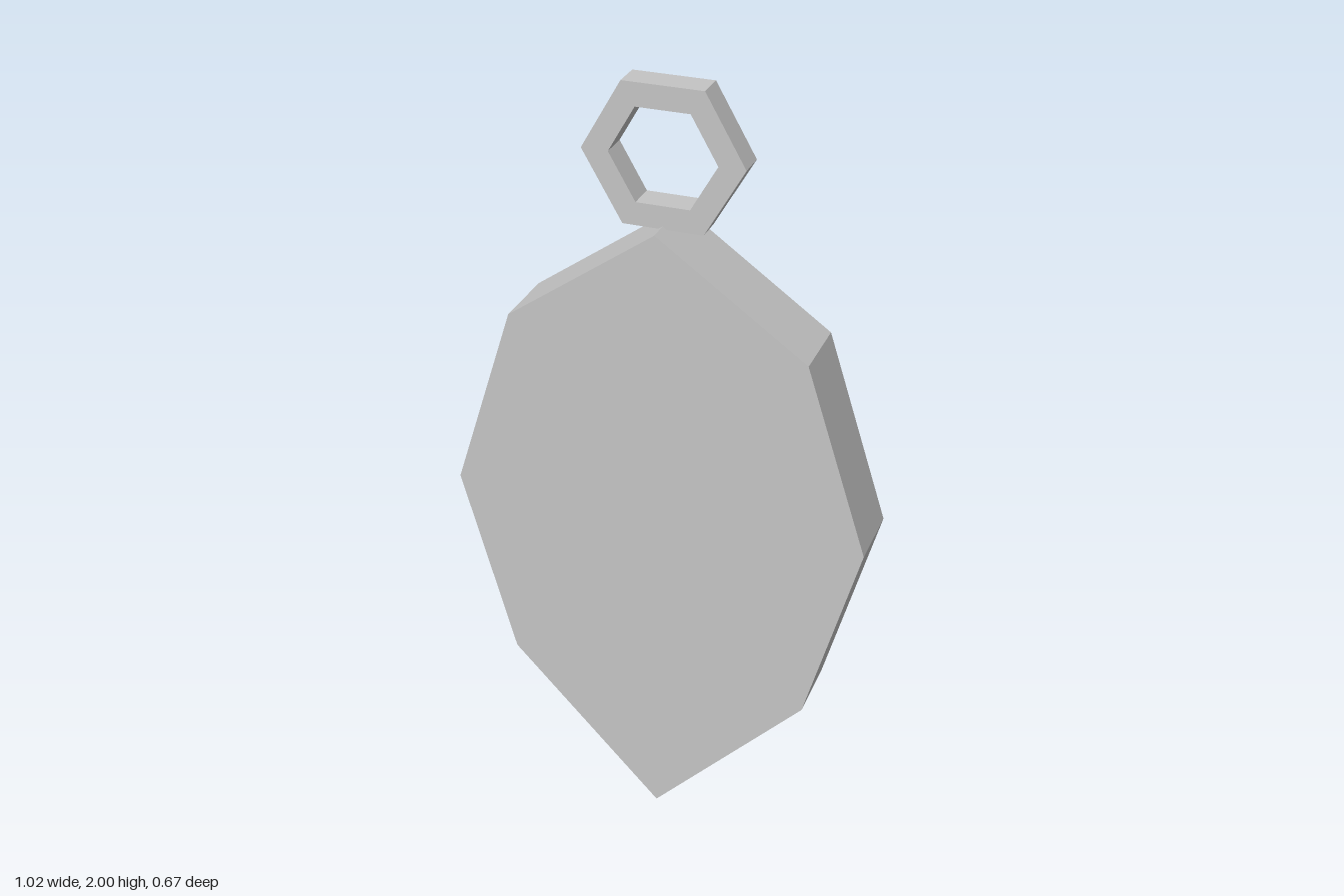
import * as THREE from 'three';

const silver = new THREE.MeshStandardMaterial({ color: 0xc4c4c4 });
silver.name = 'silver';

// Extrude a closed outline to a slab centred on z = 0
function slab(name, outline, depth, hole) {
  const shape = new THREE.Shape(outline);
  if (hole) shape.holes.push(new THREE.Path(hole));
  const geo = new THREE.ExtrudeGeometry(shape, { depth, bevelEnabled: false });
  geo.translate(0, 0, -depth / 2);
  const mesh = new THREE.Mesh(geo, silver);
  mesh.name = name;
  return mesh;
}

function hexagon(radius) {
  return Array.from({ length: 6 }, (_, i) => {
    const a = (i * Math.PI) / 3;
    return new THREE.Vector2(radius * Math.cos(a), radius * Math.sin(a));
  });
}

// Stretched octahedron, half sunk into the back of the body
function gem(name, x, y, halfWidth, halfHeight, halfDepth) {
  const geo = new THREE.OctahedronGeometry(1, 0);
  geo.scale(halfWidth, halfHeight, halfDepth);
  const mesh = new THREE.Mesh(geo, silver);
  mesh.name = name;
  mesh.position.set(x, y, -0.1);
  return mesh;
}

export function createModel() {
  const model = new THREE.Group();
  model.name = 'pendant';

  // Everything shares one turn about the vertical axis
  const pendant = new THREE.Group();
  pendant.name = 'turnedPendant';
  pendant.rotation.y = -0.5;
  model.add(pendant);

  // Faceted body, mirrored left and right
  const side = [[0.394, 0.415], [0.53, 0.915], [0.374, 1.4]];
  const outline = [
    [0, 0], ...side, [0, 1.665],
    ...side.map(([x, y]) => [-x, y]).reverse(),
  ].map(([x, y]) => new THREE.Vector2(x, y));
  pendant.add(slab('body', outline, 0.18));

  // Hanging ring
  const ring = slab('hangingRing', hexagon(0.198), 0.072, hexagon(0.132).reverse());
  ring.position.y = 1.829;
  pendant.add(ring);

  // Gems on the back
  pendant.add(gem('largeGem', 0, 0.85, 0.195, 0.33, 0.06));
  pendant.add(gem('smallGem', -0.219, 1.21, 0.048, 0.1, 0.03));

  return model;
}
